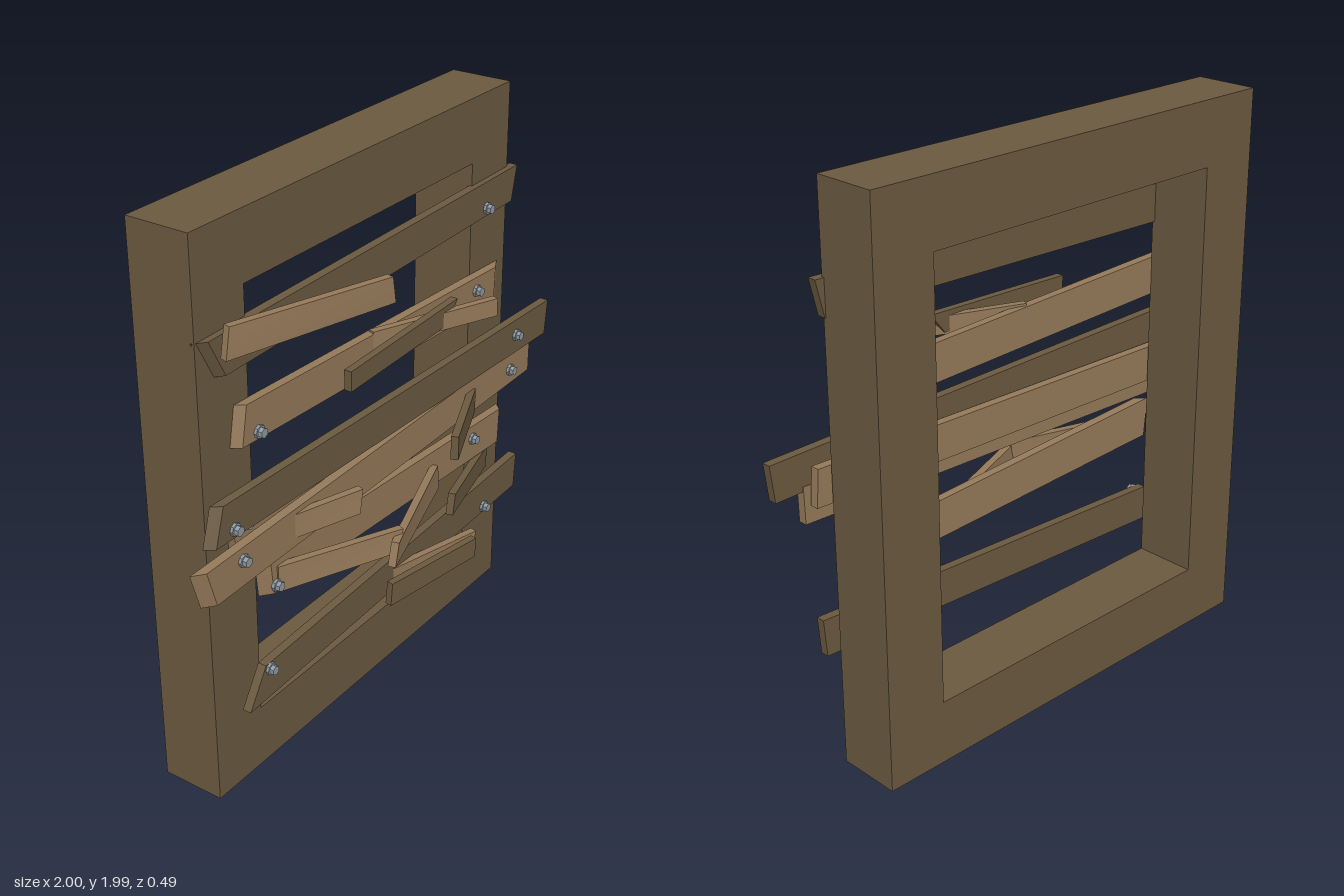
import * as THREE from 'three';

const darkWood = new THREE.MeshStandardMaterial({ color: 0x6b5a40 });
const lightWood = new THREE.MeshStandardMaterial({ color: 0x967a5a });
const steel = new THREE.MeshStandardMaterial({ color: 0x8f9aa3 });
darkWood.name = 'darkWood';
lightWood.name = 'lightWood';
steel.name = 'steel';

// Board with an outline of [x, y] corners (lt, lb, rb, rt), front depth at each end,
// thickness, and how far the front face is cut back at each end
function board(name, material, [lt, lb, rb, rt], zl, zr, t, cutL = 0, cutR = 0) {
  const geo = new THREE.BoxGeometry(2, 2, 2);
  const p = geo.attributes.position;
  const run = (rt[0] + rb[0] - lt[0] - lb[0]) / 2;
  const len = Math.hypot(run, zr - zl);
  const nx = -(zr - zl) / len, nz = run / len;
  for (let i = 0; i < 8 * 3; i++) {
    const right = p.getX(i) > 0, top = p.getY(i) > 0, front = p.getZ(i) > 0;
    const [x, y] = right ? (top ? rt : rb) : (top ? lt : lb);
    const z = right ? zr : zl;
    if (front) p.setXYZ(i, x + (right ? -cutR : cutL), y, z);
    else p.setXYZ(i, x - nx * t, y, z - nz * t);
  }
  geo.computeVertexNormals();
  const mesh = new THREE.Mesh(geo, material);
  mesh.name = name;
  return mesh;
}

// Bolt with a washer and a smaller hexagonal head
function bolt(x, y, z) {
  const g = new THREE.Group();
  g.name = 'bolt';
  [[0.022, 0.012, 0.004, 8], [0.017, 0.016, 0.017, 6]].forEach(([r, h, dz, n], i) => {
    const geo = new THREE.CylinderGeometry(r, r, h, n).toNonIndexed();
    geo.rotateX(Math.PI / 2);
    geo.computeVertexNormals();
    const m = new THREE.Mesh(geo, steel);
    m.name = i ? 'boltHead' : 'boltWasher';
    m.position.set(x, y, z + dz);
    g.add(m);
  });
  return g;
}

export function createModel() {
  const group = new THREE.Group();
  group.name = 'boardedWindow';

  // Frame with a rectangular opening
  const rect = (s, x0, y0, x1, y1) =>
    s.moveTo(x0, y0).lineTo(x1, y0).lineTo(x1, y1).lineTo(x0, y1).closePath();
  const outline = rect(new THREE.Shape(), -0.865, 0, 0.807, 1.985);
  outline.holes.push(rect(new THREE.Path(), -0.64, 0.23, 0.58, 1.755));
  const frameGeo = new THREE.ExtrudeGeometry(outline, { depth: 0.23, bevelEnabled: false });
  frameGeo.translate(0, 0, -0.25);
  const frame = new THREE.Mesh(frameGeo, darkWood);
  frame.name = 'windowFrame';
  group.add(frame);

  // Long planks: material, corners, front depth, end cuts, bolts
  const planks = [
    [darkWood, [[-0.87, 1.65], [-0.8, 1.515], [0.81, 1.555], [0.84, 1.68]], 0.002, 0.04, 0,
      [[-0.7, 1.61], [0.645, 1.58]]],
    [lightWood, [[-0.71, 1.39], [-0.735, 1.255], [0.76, 1.205], [0.765, 1.34]], 0.01, 0.025, 0.06,
      [[-0.635, 1.28], [0.58, 1.295]]],
    [darkWood, [[-0.9, 1.155], [-0.94, 1.025], [0.98, 0.99], [0.995, 1.12]], 0.067, 0.025, 0,
      [[-0.83, 1.055], [0.77, 1.065]]],
    [lightWood, [[-0.79, 1.04], [-0.77, 0.91], [0.86, 0.945], [0.85, 1.075]], 0.022, 0, 0,
      [[-0.73, 1.01], [0.65, 1.02]]],
    [lightWood, [[-1, 0.965], [-0.96, 0.83], [0.875, 0.88], [0.877, 1.01]], 0.064, 0.04, 0,
      [[-0.795, 0.925], [0.74, 0.935]]],
    [lightWood, [[-0.67, 0.835], [-0.655, 0.69], [0.755, 0.63], [0.762, 0.765]], 0.033, 0.04, 0.03,
      [[-0.605, 0.72], [0.545, 0.725]]],
    [darkWood, [[-0.69, 0.46], [-0.775, 0.325], [0.83, 0.395], [0.84, 0.53]], 0.05, 0, 0,
      [[-0.67, 0.44], [0.61, 0.41]]],
  ];
  for (const [mat, corners, z, cutL, cutR, bolts] of planks) {
    group.add(board('plank', mat, corners, z, z, 0.032, cutL, cutR));
    for (const [x, y] of bolts) group.add(bolt(x, y, z));
  }

  // Short broken boards, most of them sticking out at an angle
  const pieces = [
    [lightWood, [[-0.815, 1.71], [-0.835, 1.61], [-0.225, 1.605], [-0.24, 1.695]], 0.07, 0.225],
    [darkWood, [[-0.31, 1.375], [-0.31, 1.305], [0.24, 1.32], [0.3, 1.395]], 0.118, 0.112],
    [lightWood, [[-0.04, 1.375], [-0.04, 1.315], [0.42, 1.308], [0.42, 1.372]], 0.01, 0.195],
    [lightWood, [[-0.55, 0.955], [-0.55, 0.87], [-0.31, 0.875], [-0.295, 0.96]], 0.06, 0.15],
    [lightWood, [[-0.6, 0.785], [-0.6, 0.69], [-0.18, 0.685], [-0.16, 0.765]], 0.04, 0.215],
    [lightWood, [[-0.22, 0.75], [-0.24, 0.665], [0.305, 0.64], [0.295, 0.735]], 0.24, 0.05],
    [darkWood, [[0.19, 0.945], [0.19, 0.855], [0.5, 0.87], [0.5, 0.96]], 0.2, 0.07],
    [darkWood, [[0.305, 0.635], [0.29, 0.555], [0.67, 0.545], [0.675, 0.63]], 0.12, 0.02],
    [darkWood, [[-0.04, 0.43], [-0.05, 0.345], [0.36, 0.365], [0.365, 0.44]], 0.09, 0.175],
    [lightWood, [[0.02, 0.445], [0.03, 0.36], [0.395, 0.345], [0.42, 0.43]], 0.05, 0.14],
  ];
  for (const [mat, corners, zl, zr] of pieces) {
    group.add(board('brokenBoard', mat, corners, zl, zr, 0.027));
  }
  return group;
}
